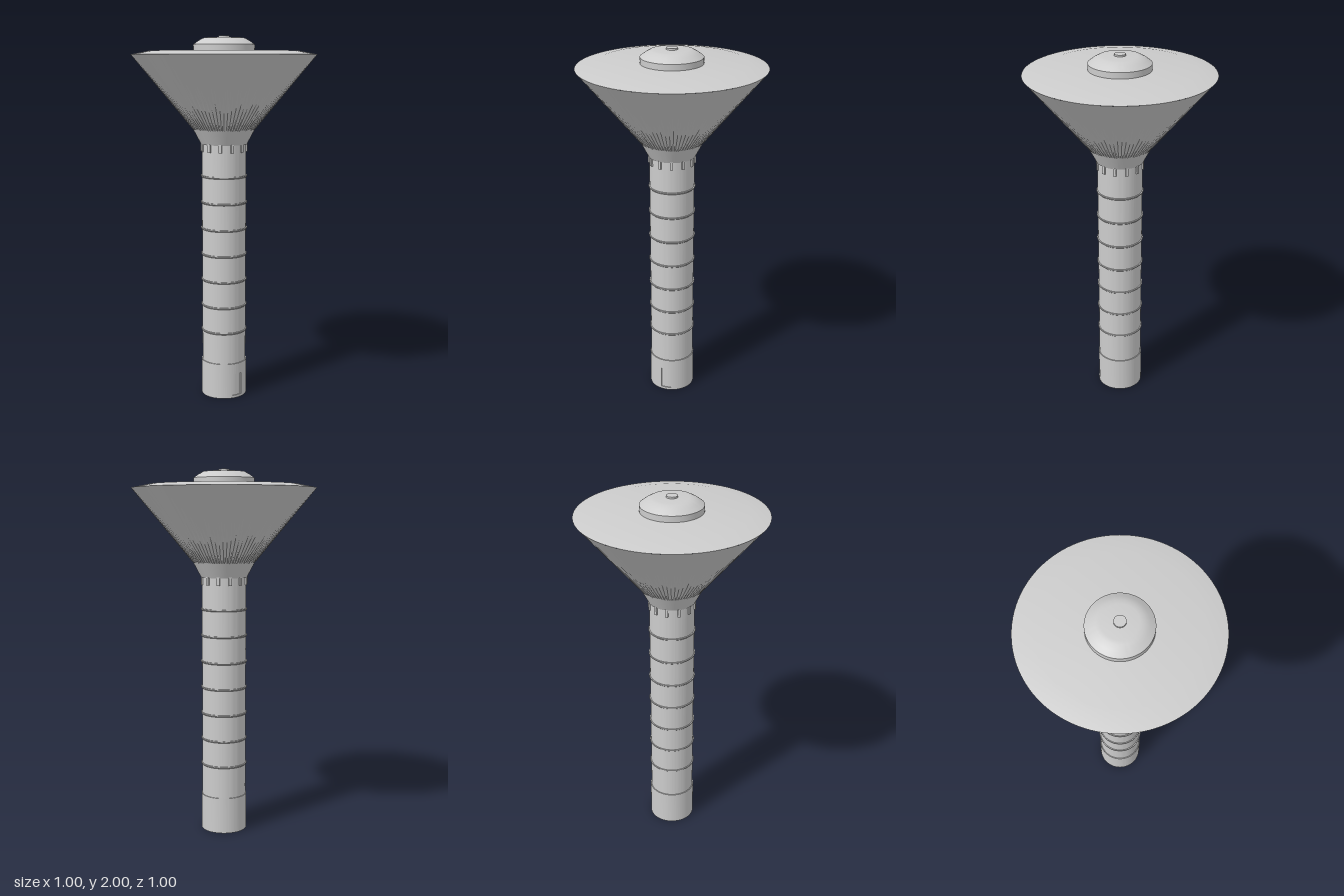
import * as THREE from 'three';
import { toCreasedNormals } from 'three/addons/utils/BufferGeometryUtils.js';

const SEGMENTS = 96;

export function createModel() {
  const tower = new THREE.Group();
  tower.name = 'waterTower';
  const concrete = new THREE.MeshStandardMaterial({ color: 0xcccccc });
  concrete.name = 'paleConcrete';

  const add = (name, geometry, parent = tower) => {
    const mesh = new THREE.Mesh(geometry, concrete);
    mesh.name = name;
    parent.add(mesh);
    return mesh;
  };
  const group = (name) => {
    const g = new THREE.Group();
    g.name = name;
    tower.add(g);
    return g;
  };
  // Turned part from [radius, height] pairs, listed from bottom to top
  const turned = (points, crease = 0.4) => toCreasedNormals(
    new THREE.LatheGeometry(points.map(([r, y]) => new THREE.Vector2(r, y)), SEGMENTS), crease);

  // Shaft, closed at the bottom
  add('shaft', turned([[0, 0], [0.121, 0], [0.121, 1.42]]));

  // Plinth wall around the shaft foot, with a doorway left open at the front
  const plinth = group('plinth');
  const wall = (name, start, end, y0, y1) => {
    const shape = new THREE.Shape();
    shape.absarc(0, 0, 0.126, start, end, false);
    shape.absarc(0, 0, 0.118, end, start, true);
    const geometry = new THREE.ExtrudeGeometry(shape, {
      depth: y1 - y0, bevelEnabled: false, curveSegments: 72,
    });
    geometry.rotateX(-Math.PI / 2).translate(0, y0, 0);
    add(name, toCreasedNormals(geometry, 0.4), plinth);
  };
  const front = -Math.PI / 2;
  const door = 0.23;
  wall('plinthWall', front + door, front + 2 * Math.PI - door, 0, 0.2);
  wall('doorSill', front - door, front + door, 0, 0.015);
  wall('doorLintel', front - door, front + door, 0.14, 0.2);

  // Narrow raised bands up the shaft
  const bands = group('shaftBands');
  for (let i = 0; i < 7; i++) {
    const y = 0.38 + i * 0.145;
    add('shaftBand', turned([[0.12, y - 0.012], [0.127, y - 0.006], [0.127, y], [0.12, y]]), bands);
  }

  // Small brackets under the neck
  const brackets = group('brackets');
  for (let i = 0; i < 12; i++) {
    const angle = ((i + 0.5) / 12) * Math.PI * 2;
    const bracket = add('bracket', new THREE.BoxGeometry(0.016, 0.045, 0.016), brackets);
    bracket.position.set(Math.sin(angle) * 0.121, 1.402, Math.cos(angle) * 0.121);
    bracket.rotation.y = angle;
  }

  // Flared neck
  add('neck', turned([[0.12, 1.42], [0.126, 1.42], [0.171, 1.505], [0.15, 1.505]]));

  // Ribbed tank: grooves are deep at the bottom and fade out towards the rim
  const ribs = 80;
  const profile = [];
  for (let i = 0; i <= 8; i++) {
    const t = i / 8;
    profile.push(new THREE.Vector2(0.17 + 0.33 * t, 1.5 + 0.4 * t));
  }
  const tank = new THREE.LatheGeometry(profile, ribs * 4);
  const position = tank.attributes.position;
  for (let i = 0; i < position.count; i++) {
    const x = position.getX(i), y = position.getY(i), z = position.getZ(i);
    const t = (y - 1.5) / 0.4;
    const groove = 1 - Math.abs(Math.sin(Math.atan2(x, z) * ribs / 2));
    const scale = 1 - 0.006 * (1 - t) * groove / Math.hypot(x, z);
    position.setXYZ(i, x * scale, y, z * scale);
  }
  add('ribbedTank', toCreasedNormals(tank, 0.6));

  // Shallow roof and the domed cap with its vent
  add('roof', turned([[0.5, 1.9], [0.4, 1.92], [0, 1.921]]));
  add('capDrum', turned([[0.165, 1.915], [0.165, 1.953]]));
  add('capDome', turned([[0.165, 1.953], [0.138, 1.973], [0.112, 1.987], [0.09, 1.99], [0, 1.992]], 0.8));
  add('vent', turned([[0.03, 1.985], [0.03, 2], [0, 2]]));

  return tower;
}
